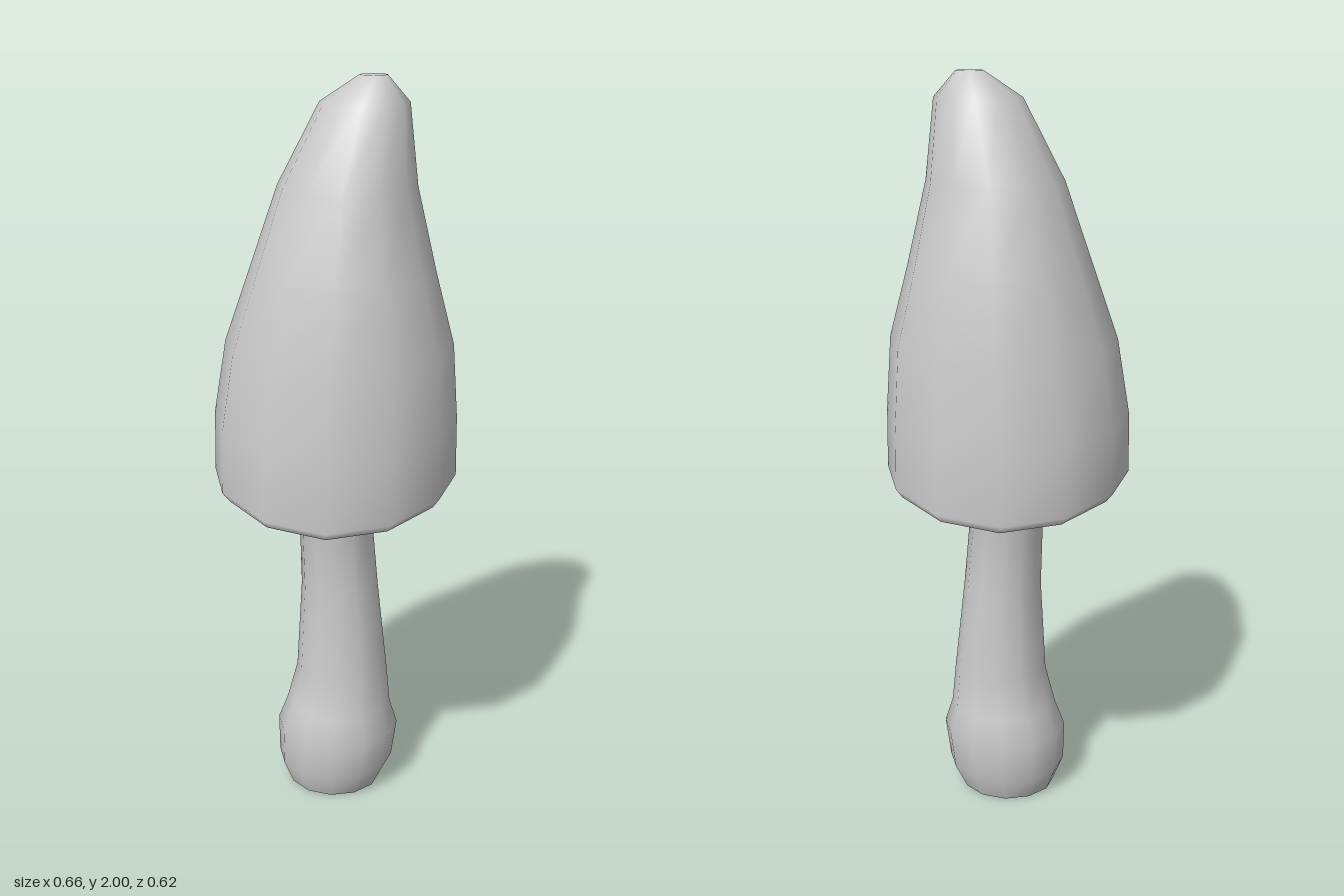
import * as THREE from 'three';
import { mergeVertices } from 'three/addons/utils/BufferGeometryUtils.js';

const SIDES = 12;
const material = new THREE.MeshStandardMaterial({ color: 0xcccccc });

// Skins a stack of rings: [y, left x, right x, z radius, rise towards the sides]
function loft(name, rings) {
  const positions = [];
  const index = [];
  rings.forEach(([y, left, right, rz, rise = 0], i) => {
    for (let j = 0; j < SIDES; j++) {
      const a = (j / SIDES) * Math.PI * 2;
      const c = Math.cos(a);
      positions.push((left + right) / 2 + ((right - left) / 2) * c, y + rise * c * c, rz * Math.sin(a));
      if (i === rings.length - 1) continue;
      const next = (j + 1) % SIDES;
      const p = i * SIDES + j, q = i * SIDES + next;
      index.push(p, p + SIDES, q, q, p + SIDES, q + SIDES);
    }
  });
  let geometry = new THREE.BufferGeometry();
  geometry.setAttribute('position', new THREE.Float32BufferAttribute(positions, 3));
  geometry.setIndex(index);
  geometry = mergeVertices(geometry);
  geometry.computeVertexNormals();
  const mesh = new THREE.Mesh(geometry, material);
  mesh.name = name;
  return mesh;
}

export function createModel() {
  const group = new THREE.Group();
  group.name = 'mushroom';

  const rim = [0.88, -0.31, 0.31, 0.297, 0.05];
  const foot = [0, -0.135, 0.13, 0.125];

  // Tall cap leaning to one side, with a saddle-shaped rim
  group.add(loft('cap', [
    rim,
    [0.9, -0.33, 0.328, 0.312, 0.055],
    [1.08, -0.326, 0.326, 0.302, 0.04],
    [1.3, -0.292, 0.312, 0.285, 0.02],
    [1.51, -0.225, 0.262, 0.246],
    [1.73, -0.148, 0.21, 0.192],
    [1.935, -0.04, 0.187, 0.11],
    [2, 0.06, 0.13, 0.032],
    [2, 0.095, 0.095, 0],
  ]));

  // Hollowed underside of the cap
  group.add(loft('capUnderside', [
    [0.955, 0, 0, 0],
    [0.95, -0.14, 0.14, 0.14],
    rim,
  ]));

  // Stem with a bulbous foot and a flare under the cap
  group.add(loft('stem', [
    foot,
    [0.07, -0.163, 0.165, 0.153],
    [0.18, -0.165, 0.18, 0.158],
    [0.25, -0.138, 0.158, 0.14],
    [0.36, -0.109, 0.148, 0.112],
    [0.62, -0.094, 0.12, 0.103],
    [0.88, -0.1, 0.097, 0.098],
    [0.95, -0.145, 0.145, 0.145],
  ]));

  group.add(loft('stemBase', [[0, 0, 0, 0], foot]));
  return group;
}
